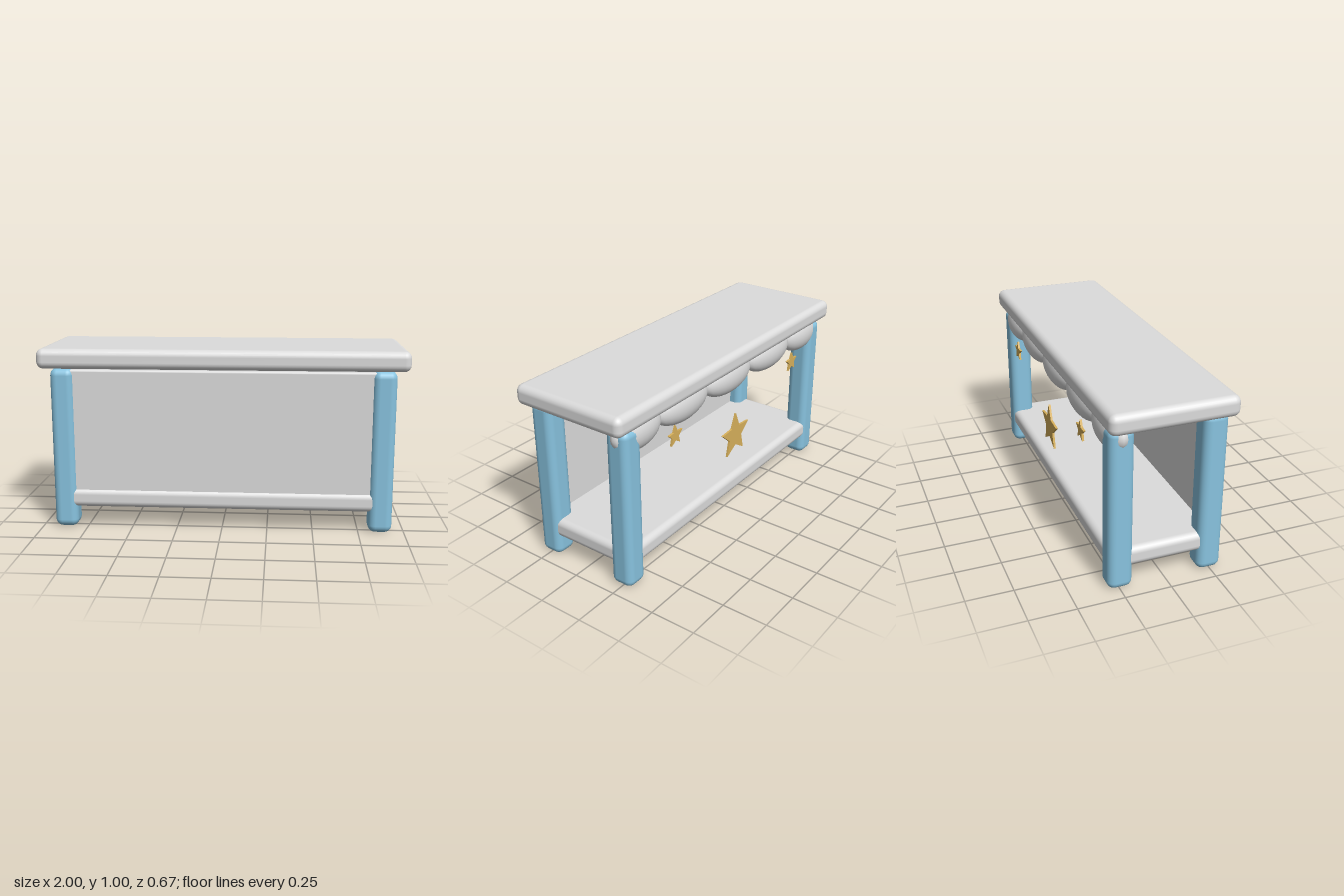
import * as THREE from 'three';
import { RoundedBoxGeometry } from 'three/addons/geometries/RoundedBoxGeometry.js';

function material(name, color) {
  const m = new THREE.MeshStandardMaterial({ color });
  m.name = name;
  return m;
}

export function createModel() {
  const model = new THREE.Group();
  model.name = 'counter';
  const white = material('softWhite', 0xdcdcdc);
  const blue = material('skyBlue', 0x88c3df);
  const gold = material('gold', 0xd8b15c);

  function add(name, geometry, mat, x, y, z) {
    const mesh = new THREE.Mesh(geometry, mat);
    mesh.name = name;
    mesh.position.set(x, y, z);
    model.add(mesh);
    return mesh;
  }

  // Slabs: top, lower shelf and front panel
  add('tableTop', new RoundedBoxGeometry(2, 0.11, 0.666, 3, 0.038), white, 0, 0.945, 0);
  add('shelf', new RoundedBoxGeometry(1.84, 0.108, 0.61, 3, 0.036), white, 0, 0.168, 0);
  add('frontPanel', new RoundedBoxGeometry(1.66, 0.685, 0.045, 2, 0.012), white, 0, 0.542, 0.27);

  // Four rounded legs
  const legGeometry = new RoundedBoxGeometry(0.13, 0.892, 0.132, 3, 0.04);
  for (const x of [-1, 1]) {
    for (const z of [-1, 1]) {
      const name = (z > 0 ? 'front' : 'back') + (x > 0 ? 'Left' : 'Right') + 'Leg';
      add(name, legGeometry, blue, x * 0.868, 0.446, z * 0.245);
    }
  }

  // Scalloped awning under the back edge
  const puff = new THREE.SphereGeometry(1, 24, 16);
  for (const [x, halfWidth] of [[-0.773, 0.172], [-0.413, 0.214], [0, 0.214], [0.413, 0.214], [0.773, 0.172]]) {
    add('scallop', puff, white, x, 0.84, -0.245).scale.set(halfWidth, 0.104, 0.075);
  }

  // Five-pointed stars on the back
  function starGeometry(radius, depth) {
    const points = [];
    for (let i = 0; i < 10; i++) {
      const r = i % 2 ? radius * 0.45 : radius;
      const a = Math.PI / 2 + (i * Math.PI) / 5;
      points.push(new THREE.Vector2(r * Math.cos(a), r * Math.sin(a)));
    }
    return new THREE.ExtrudeGeometry(new THREE.Shape(points), { depth, bevelEnabled: false });
  }
  add('largeStar', starGeometry(0.133, 0.012), gold, 0, 0.492, -0.317);
  const smallStar = starGeometry(0.058, 0.012);
  for (const x of [-0.57, 0.57]) add('smallStar', smallStar, gold, x, 0.738, -0.331);

  return model;
}
